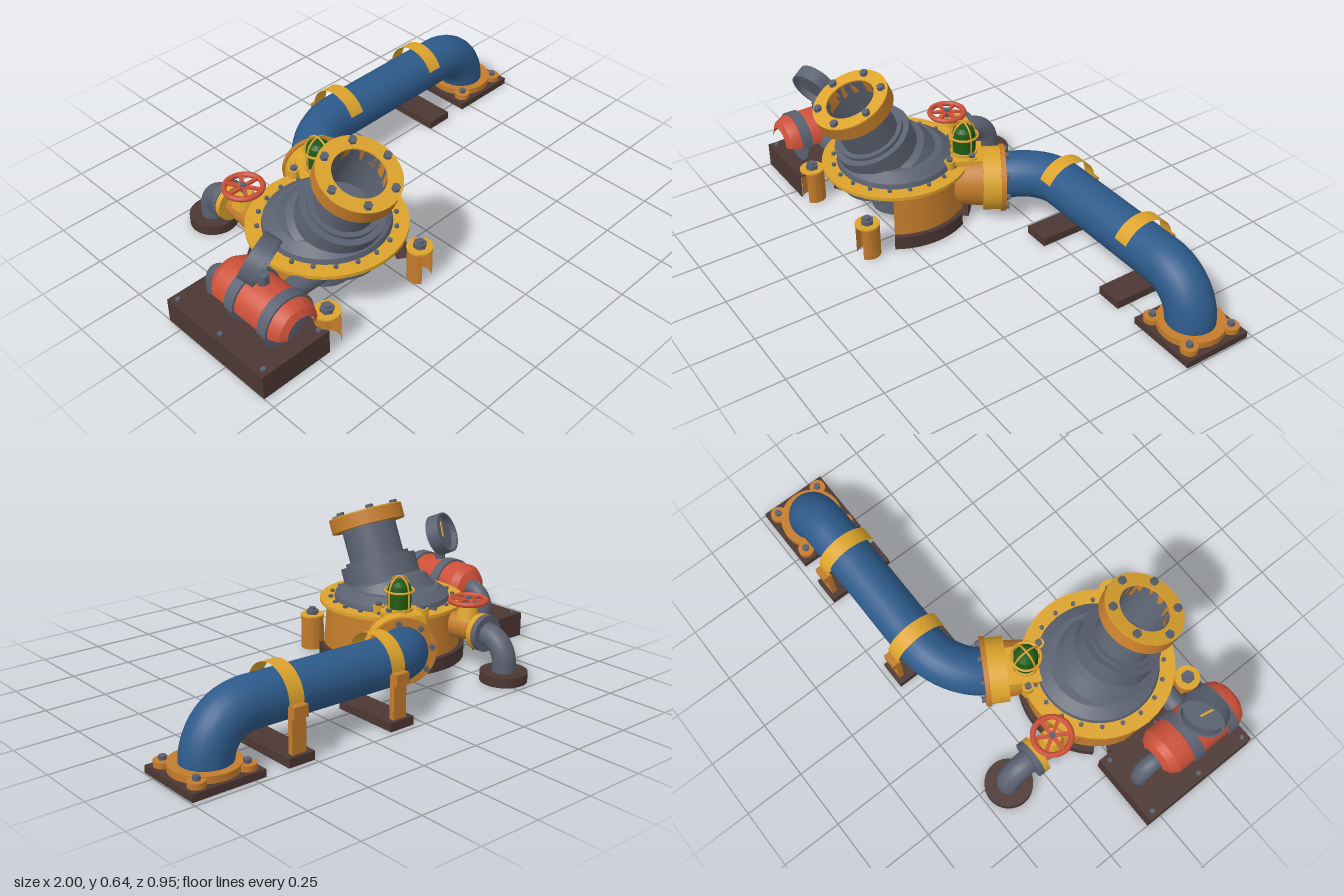
import * as THREE from 'three';
import { toCreasedNormals } from 'three/addons/utils/BufferGeometryUtils.js';

const V = (x, y, z) => new THREE.Vector3(x, y, z);
const rad = THREE.MathUtils.degToRad;

function paint(name, color) {
  const m = new THREE.MeshStandardMaterial({ color, side: THREE.DoubleSide });
  m.name = name;
  return m;
}

export function createModel() {
  const yellow = paint('yellow', 0xdca32c), orange = paint('orange', 0xc47c2b);
  const slate = paint('slate', 0x5a6170), blue = paint('blue', 0x2d5a8a);
  const red = paint('red', 0xcc5038), green = paint('green', 0x1d5a12);
  const brown = paint('brown', 0x4c3733);
  const model = new THREE.Group();
  model.name = 'pumpStation';

  const add = (parent, name, geo, mat, x = 0, y = 0, z = 0) => {
    const m = new THREE.Mesh(geo, mat);
    m.name = name;
    m.position.set(x, y, z);
    parent.add(m);
    return m;
  };
  const group = (name, x, y, z, parent = model) => {
    const g = new THREE.Group();
    g.name = name;
    g.position.set(x, y, z);
    parent.add(g);
    return g;
  };
  const cyl = (r, h, seg = 24, r2 = r) => new THREE.CylinderGeometry(r2, r, h, seg);
  const box = (w, h, d) => new THREE.BoxGeometry(w, h, d);
  // Turned part from [radius, height] points; angles run from the front (+z) towards +x
  const turn = (pts, start = 0, len = 360, seg = 40) => toCreasedNormals(
    new THREE.LatheGeometry(pts.map(p => new THREE.Vector2(...p)), seg, rad(start), rad(len)), 0.5);
  const ring = (ri, ro, y0, y1, start, len) =>
    turn([[ri, y0], [ro, y0], [ro, y1], [ri, y1], [ri, y0]], start, len);
  const aim = (obj, dir) => obj.quaternion.setFromUnitVectors(V(0, 1, 0), dir.clone().normalize());
  // Pipe made of straight runs and rounded corners
  const pipe = (pts, bend, r, seg = 64) => {
    const path = new THREE.CurvePath();
    let from = pts[0];
    for (let i = 1; i < pts.length - 1; i++) {
      const a = pts[i].clone().add(pts[i - 1].clone().sub(pts[i]).setLength(bend[i - 1]));
      const b = pts[i].clone().add(pts[i + 1].clone().sub(pts[i]).setLength(bend[i - 1]));
      const c1 = a.clone().lerp(pts[i], 0.58), c2 = b.clone().lerp(pts[i], 0.58);
      if (from.distanceTo(a) > 0.002) path.add(new THREE.LineCurve3(from, a));
      path.add(new THREE.CubicBezierCurve3(a, c1, c2, b));
      from = b;
    }
    if (from.distanceTo(pts.at(-1)) > 0.002) path.add(new THREE.LineCurve3(from, pts.at(-1)));
    return new THREE.TubeGeometry(path, seg, r, 24);
  };
  const bolts = (parent, n, r, y, size = 0.014, offset = 0) => {
    for (let i = 0; i < n; i++) {
      const a = (i + offset) / n * Math.PI * 2;
      add(parent, 'bolt', cyl(size, 0.02, 6), slate, Math.sin(a) * r, y, Math.cos(a) * r);
    }
  };

  // Pump body, open at the front, on a broken base ring
  const pump = group('pump', -0.42, 0, 0.145);
  add(pump, 'casing', turn([[0.285, 0.06], [0.272, 0.24]], 57, 246), orange);
  for (const [start, len] of [[57, 62], [130, 100], [241, 62]])
    add(pump, 'baseRing', ring(0.26, 0.305, 0.005, 0.062, start, len), brown);
  add(pump, 'brim', ring(0.2, 0.3, 0.236, 0.25), yellow);
  add(pump, 'shoulder', turn([[0.24, 0.25], [0.235, 0.27], [0.19, 0.3], [0, 0.31]]), slate);
  bolts(pump, 20, 0.255, 0.25, 0.009);
  add(pump, 'suctionPipe', cyl(0.102, 0.24, 32), slate, -0.012, 0.14, 0);

  // Tilted inlet with flange
  const inlet = group('inlet', -0.43, 0.38, 0.245);
  inlet.rotation.x = rad(23.5);
  add(inlet, 'drum', turn([[0.21, -0.16], [0.185, -0.1], [0.16, -0.085], [0.16, 0], [0.135, 0],
    [0.135, 0.015], [0.115, 0.015], [0.115, 0.16]]), slate);
  add(inlet, 'bore', turn([[0, 0], [0.1, 0], [0.1, 0.205]]), slate);
  add(inlet, 'inletFlange', ring(0.1, 0.157, 0.15, 0.207), orange);
  add(inlet, 'flangeFace', ring(0.1, 0.157, 0.207, 0.212), yellow);
  bolts(inlet, 6, 0.132, 0.217, 0.016, 0.5);

  // Slotted anchor posts at the front
  for (const x of [-0.668, -0.205]) {
    const post = group('anchorPost', x, 0, 0.407);
    add(post, 'postShell', turn([[0.048, 0.005], [0.048, 0.15]], 35, 290, 24), orange);
    add(post, 'postCap', ring(0.012, 0.05, 0.145, 0.152), yellow);
    add(post, 'nut', cyl(0.026, 0.02, 6), slate, 0, 0.16, 0);
    add(post, 'stud', cyl(0.015, 0.03, 10), slate, 0, 0.165, 0);
  }

  // Outlet neck and collar
  const outDir = V(0.51, 0, -0.86).normalize();
  const outlet = group('outlet', -0.175, 0.16, -0.17);
  aim(outlet, outDir);
  add(outlet, 'neck', cyl(0.1, 0.17, 32, 0.115), orange, 0, -0.1, 0);
  add(outlet, 'collar', cyl(0.13, 0.085, 32), yellow, 0, -0.005, 0);
  add(outlet, 'collarFlange', cyl(0.138, 0.02, 32), orange, 0, 0.035, 0);
  bolts(outlet, 8, 0.118, 0.05, 0.012, 0.5);
  const deck = add(model, 'outletDeck', box(0.15, 0.08, 0.17), yellow, -0.265, 0.235, -0.07);
  deck.rotation.y = rad(-31);
  for (const [x, z] of [[-0.335, -0.13], [-0.225, 0.01], [-0.2, -0.08]]) {
    add(model, 'boltBoss', cyl(0.022, 0.09, 14), yellow, x, 0.237, z);
    add(model, 'bossNut', cyl(0.014, 0.015, 6), slate, x, 0.287, z);
  }

  // Caged signal lamp
  const lamp = group('lamp', -0.255, 0.285, -0.078);
  add(lamp, 'lampFoot', cyl(0.055, 0.012), yellow, 0, 0, 0);
  add(lamp, 'lampGlass', turn([[0.047, 0], [0.047, 0.075], [0.042, 0.097], [0.027, 0.112], [0, 0.117]]), green);
  const hoop = add(lamp, 'cageRing', new THREE.TorusGeometry(0.057, 0.005, 6, 28), yellow, 0, 0.075, 0);
  hoop.rotation.x = Math.PI / 2;
  for (const a of [0, Math.PI / 2]) {
    const arch = new THREE.CatmullRomCurve3([V(-0.054, 0, 0), V(-0.054, 0.075, 0), V(-0.038, 0.115, 0),
      V(0, 0.133, 0), V(0.038, 0.115, 0), V(0.054, 0.075, 0), V(0.054, 0, 0)]);
    add(lamp, 'cageBar', new THREE.TubeGeometry(arch, 28, 0.004, 6), yellow).rotation.y = a;
  }

  // Main blue pipe
  add(model, 'mainPipe', pipe([V(-0.165, 0.162, -0.188), V(-0.077, 0.205, -0.335), V(0.845, 0.215, -0.335),
    V(0.845, 0.03, -0.335)], [0.155, 0.175], 0.095, 110), blue);

  // Pipe end flange on its floor plate
  const end = group('endFlange', 0.85, 0, -0.335);
  add(end, 'floorPlate', box(0.29, 0.028, 0.285), brown, 0, 0.016, 0);
  add(end, 'flangeRing', ring(0.09, 0.128, 0.03, 0.056), orange);
  for (const sx of [-1, 1]) for (const sz of [-1, 1]) {
    add(end, 'flangeEar', cyl(0.033, 0.022, 16), orange, sx * 0.1, 0.042, sz * 0.1);
    add(end, 'earBolt', cyl(0.014, 0.018, 6), slate, sx * 0.1, 0.06, sz * 0.1);
  }

  // Pipe clamps
  for (const x of [0.095, 0.555]) {
    const clamp = group('pipeClamp', x, 0, -0.335);
    add(clamp, 'clampFoot', box(0.11, 0.034, 0.285), brown, 0, 0.019, 0);
    const strap = add(clamp, 'strap', new THREE.CylinderGeometry(0.118, 0.118, 0.064, 28, 1, true,
      rad(-90), rad(155)), yellow, 0, 0.215, 0);
    strap.rotation.set(0, Math.PI / 2, Math.PI / 2, 'YXZ');
    // Bake the strap as an arch over the pipe, from the back up to the front shoulder
    strap.rotation.set(0, 0, 0);
    const arc = strap.geometry.attributes.position;
    for (let i = 0; i < arc.count; i++) {
      const s = arc.getX(i), c = arc.getZ(i), w = arc.getY(i);
      arc.setXYZ(i, w, c, s);
    }
    strap.geometry.computeVertexNormals();
    add(clamp, 'clampPost', box(0.06, 0.17, 0.022), orange, 0, 0.12, -0.117);
    add(clamp, 'clampLug', box(0.06, 0.045, 0.03), orange, 0, 0.19, -0.127);
  }

  // Valve, handwheel and drain elbow at the back
  const valve = group('valve', -0.54, 0, 0);
  const along = (name, r, len, mat, z, r2) => {
    const m = add(valve, name, cyl(r, len, 24, r2), mat, 0, 0.17, z);
    m.rotation.x = -Math.PI / 2;
  };
  along('valveBody', 0.06, 0.16, orange, -0.16, 0.045);
  along('valveFlange', 0.075, 0.022, yellow, -0.255);
  along('drainFlange', 0.075, 0.022, slate, -0.28);
  add(valve, 'bonnet', cyl(0.05, 0.06, 20, 0.035), yellow, 0, 0.235, -0.18);
  add(valve, 'stem', cyl(0.012, 0.06, 10), slate, 0, 0.27, -0.18);
  const wheel = add(valve, 'handwheel', new THREE.TorusGeometry(0.073, 0.011, 8, 32), red, 0, 0.285, -0.18);
  wheel.rotation.x = Math.PI / 2;
  for (let i = 0; i < 3; i++)
    add(valve, 'spoke', box(0.145, 0.01, 0.014), red, 0, 0.287, -0.18).rotation.y = i * Math.PI / 3;
  add(valve, 'drainElbow', pipe([V(0, 0.17, -0.26), V(0, 0.17, -0.385), V(0, 0.03, -0.385)], [0.1], 0.047, 32), slate);
  add(valve, 'drainFoot', cyl(0.095, 0.04, 32), brown, 0, 0.022, -0.385);
  bolts(valve, 0, 0, 0);

  // Tank plinth, open towards the pump
  add(model, 'plinthTop', box(0.3, 0.006, 0.515), brown, -0.85, 0.102, 0.193);
  add(model, 'plinthFront', box(0.3, 0.1, 0.004), brown, -0.85, 0.052, 0.449);
  add(model, 'plinthBack', box(0.3, 0.1, 0.004), brown, -0.85, 0.052, -0.063);
  add(model, 'plinthSide', box(0.004, 0.1, 0.515), brown, -0.998, 0.052, 0.193);
  for (const x of [-0.975, -0.725]) for (const z of [-0.035, 0.2, 0.425])
    add(model, 'plinthBolt', cyl(0.01, 0.012, 6), slate, x, 0.108, z);

  // Red tank: upper shell with round bulkheads and half bands
  const tank = group('tank', -0.835, 0.212, 0);
  tank.rotation.x = Math.PI / 2;
  add(tank, 'tankShell', turn([[0.05, 0.075], [0.08, 0.09], [0.1, 0.12], [0.1, 0.42], [0.085, 0.45],
    [0.06, 0.465]], 90, 180), red);
  for (const z of [0.215, 0.385]) {
    add(tank, 'tankBand', ring(0.098, 0.108, z - 0.022, z + 0.022, 90, 180), slate);
    add(tank, 'bulkhead', cyl(0.106, 0.006, 36), slate, 0, z, 0);
  }
  add(model, 'tankElbow', pipe([V(-0.842, 0.215, 0.11), V(-0.842, 0.215, 0.015), V(-0.842, 0.1, 0.015)],
    [0.075], 0.035, 28), slate);
  const link = add(model, 'linkPipe', cyl(0.042, 0.2, 20), slate, -0.68, 0.2, 0.285);
  link.rotation.z = Math.PI / 2;

  // Gauge drum facing back and up
  add(model, 'gaugeStalk', cyl(0.022, 0.05, 14), slate, -0.835, 0.325, 0.28);
  const gauge = group('gauge', -0.842, 0.42, 0.28);
  aim(gauge, V(-0.35, 0.4, -0.85));
  add(gauge, 'gaugeRim', ring(0.08, 0.09, -0.03, 0.03), slate);
  add(gauge, 'gaugeFace', cyl(0.082, 0.006, 32), slate);
  add(gauge, 'needle', box(0.008, 0.004, 0.07), yellow, 0, 0.005, 0.02);

  return model;
}
